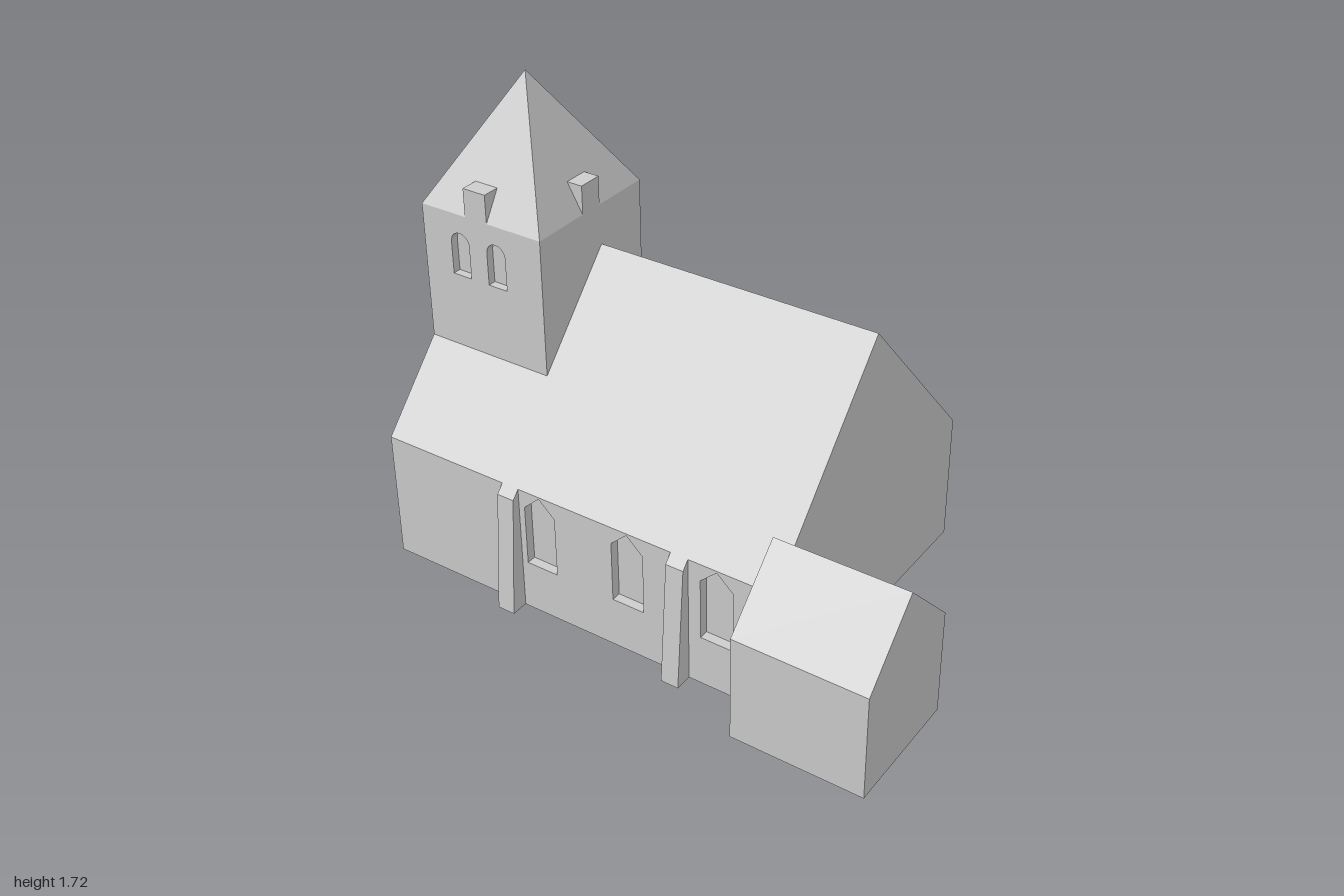
import * as THREE from 'three';

const stone = new THREE.MeshStandardMaterial({ color: 0xcccccc });

function add(parent, name, geometry) {
  const mesh = new THREE.Mesh(geometry, stone);
  mesh.name = name;
  parent.add(mesh);
  return mesh;
}

// Prism with a (z, y) cross-section running along x from x0 to x1
function prismX(points, x0, x1) {
  const shape = new THREE.Shape(points.map(([z, y]) => new THREE.Vector2(z, y)));
  const g = new THREE.ExtrudeGeometry(shape, { depth: x1 - x0, bevelEnabled: false });
  return g.rotateY(-Math.PI / 2).translate(x1, 0, 0);
}

// Wall slab facing z, pierced by window openings
function wall(x0, x1, y0, y1, z, depth, windows) {
  const shape = new THREE.Shape([[x0, y0], [x1, y0], [x1, y1], [x0, y1]].map(p => new THREE.Vector2(...p)));
  shape.holes.push(...windows);
  return new THREE.ExtrudeGeometry(shape, { depth, bevelEnabled: false, curveSegments: 10 }).translate(0, 0, z);
}

function pointedWindow(x, w, sill, spring, top) {
  return new THREE.Path([
    [x - w / 2, sill], [x - w / 2, spring], [x, top], [x + w / 2, spring], [x + w / 2, sill],
  ].map(p => new THREE.Vector2(...p)));
}

function archedWindow(x, w, sill, spring) {
  const p = new THREE.Path();
  p.moveTo(x - w / 2, sill);
  p.lineTo(x - w / 2, spring);
  p.absarc(x, spring, w / 2, Math.PI, 0, true);
  p.lineTo(x + w / 2, sill);
  p.closePath();
  return p;
}

function createNave() {
  const nave = new THREE.Group();
  nave.name = 'nave';
  const x0 = -1, x1 = 0.573, zf = 0.54, zb = -0.635, eave = 0.485, d = 0.035;
  // Core and roof; the core is set back so the window openings have depth
  add(nave, 'naveCoreAndRoof', prismX([
    [zf - d, 0], [zf - d, eave], [zf, eave], [-0.045, 1.13],
    [zb, eave], [zb + d, eave], [zb + d, 0],
  ], x0, x1));
  const windows = () => [-0.35, 0.008, 0.358].map(x => pointedWindow(x, 0.125, 0.19, 0.42, 0.478));
  add(nave, 'naveFrontWall', wall(x0, x1, 0, eave, zf - d, d, windows()));
  add(nave, 'naveBackWall', wall(x0, x1, 0, eave, zb, d, windows()));
  // Tapered buttresses whose caps carry on the roof slope
  for (const x of [-0.503, 0.182]) {
    for (const [z, s] of [[zf, 1], [zb, -1]]) {
      const section = [[z, 0], [z + s * 0.065, 0], [z + s * 0.028, 0.455], [z, eave]];
      add(nave, 'buttress', prismX(section, x, x + 0.067));
    }
  }
  return nave;
}

function createTower() {
  const tower = new THREE.Group();
  tower.name = 'tower';
  const hx = 0.25, hz = 0.275, y0 = 0.72, y1 = 1.28, d = 0.03;
  tower.position.set(-0.75, 0, 0.005);
  add(tower, 'towerCore', new THREE.BoxGeometry(2 * hx, y1 - y0, 2 * (hz - d)).translate(0, (y0 + y1) / 2, 0));
  const windows = () => [-0.093, 0.06].map(x => archedWindow(x, 0.077, 1.05, 1.172));
  add(tower, 'towerFrontWall', wall(-hx, hx, y0, y1, hz - d, d, windows()));
  add(tower, 'towerBackWall', wall(-hx, hx, y0, y1, -hz, d, windows()));
  // Four-sided spire
  const spire = new THREE.ConeGeometry(Math.SQRT2, 0.44, 4).rotateY(Math.PI / 4)
    .scale(hx, 1, hz).translate(0, y1 + 0.22, 0).toNonIndexed();
  spire.computeVertexNormals();
  add(tower, 'spire', spire);
  // Wedge dormer on each side of the spire, flush with the wall below
  for (let i = 0; i < 4; i++) {
    const r = i % 2 ? hx : hz;
    const g = prismX([[r, y1], [r, 1.385], [r * 0.76, 1.385]], -0.046, 0.046);
    g.rotateY(i * Math.PI / 2);
    if (i % 2 === 0) g.translate(-0.017, 0, 0);
    add(tower, 'spireDormer', g);
  }
  return tower;
}

export function createModel() {
  const church = new THREE.Group();
  church.name = 'church';
  church.add(createNave(), createTower());
  // Small gabled side building at the front corner
  add(church, 'porch', prismX([
    [0.225, 0], [0.7, 0], [0.7, 0.397], [0.4625, 0.635], [0.225, 0.397],
  ], 0.514, 1));
  return church;
}
